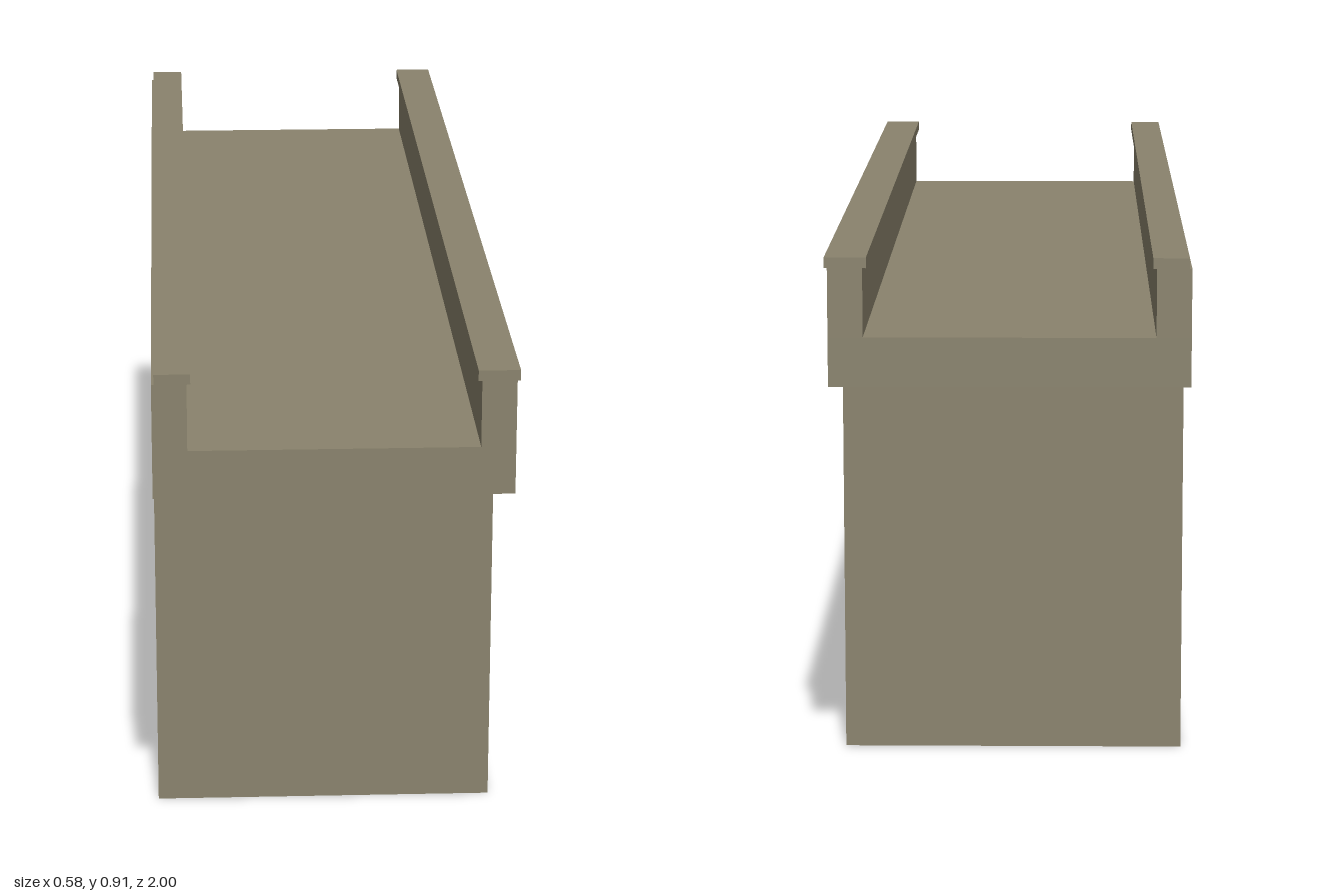
import * as THREE from 'three';

export function createModel() {
  const bridge = new THREE.Group();
  bridge.name = 'bridge';
  const stone = new THREE.MeshStandardMaterial({ color: 0x8a836d });
  stone.name = 'weathered stone';

  // Half of the side profile as [z, y], from the deck end in to the middle
  const half = [
    [1, 0.78], [1, 0.7], [0.635, 0.7], [0.635, 0], [0.37, 0], [0.37, 0.65],
    [0.3, 0.65], [0.3, 0.603], [0.235, 0.603], [0.235, 0.56], [0.165, 0.56], [0.165, 0.515],
  ];
  const mirrored = half.map(([z, y]) => [-z, y]).reverse();
  const profile = new THREE.Shape([...half, ...mirrored].map(([z, y]) => new THREE.Vector2(z, y)));

  // Deck, piers and stepped belly as one solid across the width
  const left = -0.293, right = 0.286;
  const bodyGeometry = new THREE.ExtrudeGeometry(profile, { depth: right - left, bevelEnabled: false });
  bodyGeometry.rotateY(Math.PI / 2).translate(left, 0, 0);
  const body = new THREE.Mesh(bodyGeometry, stone);
  body.name = 'deckAndPiers';
  bridge.add(body);

  // Full-length bar between two x and two y positions
  function bar(name, x0, x1, y0, y1) {
    const mesh = new THREE.Mesh(new THREE.BoxGeometry(x1 - x0, y1 - y0, 2), stone);
    mesh.position.set((x0 + x1) / 2, (y0 + y1) / 2, 0);
    mesh.name = name;
    bridge.add(mesh);
  }

  // Parapets with slightly offset coping
  bar('rightParapet', left, -0.237, 0.78, 0.891);
  bar('rightCoping', -0.289, -0.231, 0.891, 0.908);
  bar('leftParapet', 0.23, right, 0.78, 0.891);
  bar('leftCoping', 0.224, 0.291, 0.891, 0.908);

  return bridge;
}
